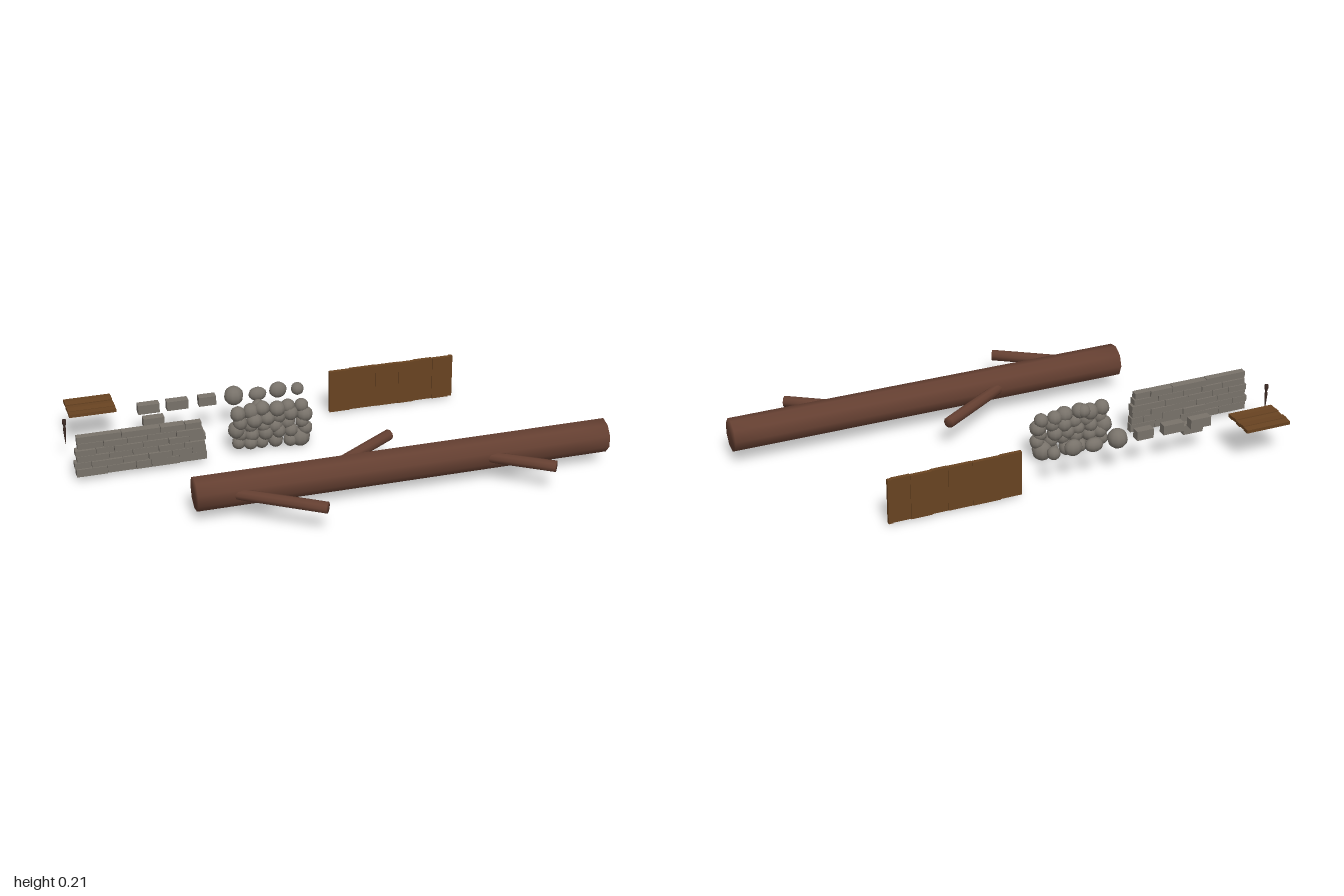
import * as THREE from 'three';
import { mergeVertices } from 'three/addons/utils/BufferGeometryUtils.js';

function makeMaterial(name, color) {
  const m = new THREE.MeshStandardMaterial({ color });
  m.name = name;
  return m;
}

// Weld a geometry so that shading flows across its edges
function weld(geometry) {
  geometry.deleteAttribute('uv');
  geometry.deleteAttribute('normal');
  const g = mergeVertices(geometry, 1e-5);
  g.computeVertexNormals();
  return g;
}

function seeded(seed) {
  return () => {
    seed = (seed * 16807) % 2147483647;
    return seed / 2147483647;
  };
}

export function createModel() {
  const bark = makeMaterial('bark', 0x643f31);
  const stone = makeMaterial('stone', 0x78726a);
  const plank = makeMaterial('plank', 0x684321);
  const iron = makeMaterial('darkWood', 0x3c2a24);

  const model = new THREE.Group();
  model.name = 'buildingMaterials';
  const group = (name) => {
    const g = new THREE.Group();
    g.name = name;
    model.add(g);
    return g;
  };
  const add = (parent, name, geometry, material) => {
    const m = new THREE.Mesh(geometry, material);
    m.name = name;
    parent.add(m);
    return m;
  };
  // Box given by its lower and upper limits on each axis
  const box = (parent, name, material, x0, x1, y0, y1, z0, z1) => {
    const m = add(parent, name, new THREE.BoxGeometry(x1 - x0, y1 - y0, z1 - z0), material);
    m.position.set((x0 + x1) / 2, (y0 + y1) / 2, (z0 + z1) / 2);
    return m;
  };
  const ball = new THREE.SphereGeometry(1, 10, 8);
  const rock = (parent, name, x, y, z, rx, ry = rx, rz = rx) => {
    const m = add(parent, name, ball, stone);
    m.position.set(x, y, z);
    m.scale.set(rx, ry, rz);
    return m;
  };

  // Fallen log: nine-sided trunk with three branch stubs
  const log = group('log');
  const LOG_Y = 0.12, LOG_Z = 0.273;
  const trunkGeo = new THREE.CylinderGeometry(0.066, 0.066, 1.61, 9, 12);
  trunkGeo.rotateY(Math.PI);
  trunkGeo.rotateZ(-Math.PI / 2);
  const trunk = add(log, 'trunk', weld(trunkGeo), bark);
  trunk.position.set(0.192, LOG_Y, LOG_Z);
  for (const [endX, endZ] of [[-0.175, 0.508], [0.205, 0.04], [0.728, 0.457]]) {
    const dz = endZ - LOG_Z;
    const from = new THREE.Vector3(endX - Math.abs(dz) * 1.52, LOG_Y, LOG_Z);
    const dir = new THREE.Vector3(endX, LOG_Y, endZ).sub(from);
    const branch = add(log, 'branch',
      weld(new THREE.CylinderGeometry(0.022, 0.022, dir.length(), 9, 4)), bark);
    branch.position.copy(from).addScaledVector(dir, 0.5);
    branch.quaternion.setFromUnitVectors(new THREE.Vector3(0, 1, 0), dir.normalize());
  }

  // Dry stone wall: uneven courses of blocks
  const wall = group('stoneWall');
  const rand = seeded(71);
  const courses = [
    { y: 0.030, x: [-0.98, -0.86, -0.75, -0.69, -0.58, -0.472] },
    { y: 0.063, x: [-0.985, -0.92, -0.80, -0.70, -0.61, -0.53, -0.475] },
    { y: 0.090, x: [-0.975, -0.85, -0.76, -0.66, -0.56, -0.48] },
    { y: 0.116, x: [-0.98, -0.90, -0.83, -0.72, -0.62, -0.54, -0.475] },
    { y: 0.143, x: [-0.97, -0.87, -0.78, -0.70, -0.59, -0.485] },
    { y: 0.169, x: [-0.972, -0.80, -0.65, -0.555, -0.49] },
  ];
  courses.forEach(({ y, x }, row) => {
    const top = row < courses.length - 1 ? courses[row + 1].y : 0.196;
    for (let i = 0; i < x.length - 1; i++) {
      const bump = rand() * 0.007;
      const drop = rand() * 0.003;
      box(wall, 'wallStone', stone, x[i] + 0.001, x[i + 1] - 0.001,
        y + 0.0005, top - drop, -0.163 + rand() * 0.006, -0.125 - bump);
    }
  });

  // Rubble wall: a jittered sheet of round stones
  const rubble = group('rubbleWall');
  const jitter = seeded(29);
  const vary = (amount) => (jitter() * 2 - 1) * amount;
  for (let row = 0; row < 5; row++) {
    for (let col = 0; col < 6; col++) {
      if (row === 0 && col === 5) continue;
      const r = 0.031 + vary(0.004);
      rock(rubble, 'rubbleStone',
        -0.338 + col * 0.051 + (row % 2) * 0.01 + vary(0.006),
        0.048 + row * 0.034 + vary(0.006),
        -0.18 + vary(0.008), r, r * (1 + vary(0.08)), r);
    }
  }
  rock(rubble, 'cornerStone', -0.088, 0.048, -0.178, 0.04);
  rock(rubble, 'topStone', -0.25, 0.193, -0.198, 0.027);

  // Loose cut blocks
  const blocks = group('looseBlocks');
  for (const [x0, x1, y0, z0] of [
    [-0.69, -0.605, 0.135, -0.398], [-0.575, -0.49, 0.135, -0.398],
    [-0.447, -0.378, 0.135, -0.398], [-0.678, -0.595, 0.094, -0.36],
  ]) box(blocks, 'block', stone, x0, x1, y0, y0 + 0.038, z0, z0 + 0.034);

  // Loose field stones
  const stones = group('looseStones');
  rock(stones, 'fieldStone', -0.303, 0.156, -0.382, 0.039);
  rock(stones, 'fieldStone', -0.206, 0.15, -0.382, 0.037, 0.028, 0.026);
  rock(stones, 'fieldStone', -0.122, 0.156, -0.382, 0.036, 0.033, 0.026);
  rock(stones, 'fieldStone', -0.042, 0.15, -0.382, 0.026);

  // Upright plank wall: boards stepped back and forth
  const plankWall = group('plankWall');
  const seams = [0.095, 0.18, 0.29, 0.385, 0.45, 0.53, 0.6, 0.617];
  const steps = [0.002, -0.002, 0, 0.0025, -0.002, 0.002, -0.002];
  steps.forEach((s, i) => box(plankWall, 'wallBoard', plank,
    seams[i], seams[i + 1], 0.018, 0.198, -0.406 + s, -0.391 + s));

  // Flat plank floor: uneven boards side by side
  const floor = group('plankFloor');
  const lifts = [0, 0.003, -0.001, 0.003, 0.001];
  lifts.forEach((lift, i) => {
    const z = -0.53 + i * 0.0286;
    const board = box(floor, 'floorBoard', plank,
      -0.957, -0.772, 0.148 + lift, 0.161 + lift, z, z + 0.0286);
    board.rotation.x = (i % 2 ? 1 : -1) * 0.05;
  });

  // Small pointed stake
  const profile = [[0, 0.09], [0.003, 0.115], [0.0065, 0.157], [0.004, 0.165],
    [0.005, 0.172], [0.008, 0.18], [0.008, 0.196], [0, 0.196]]
    .map(([x, y]) => new THREE.Vector2(x, y));
  const stakeGeo = new THREE.LatheGeometry(profile, 7);
  const stake = add(model, 'stake', stakeGeo, iron);
  stake.position.set(-0.991, 0, -0.291);

  return model;
}
